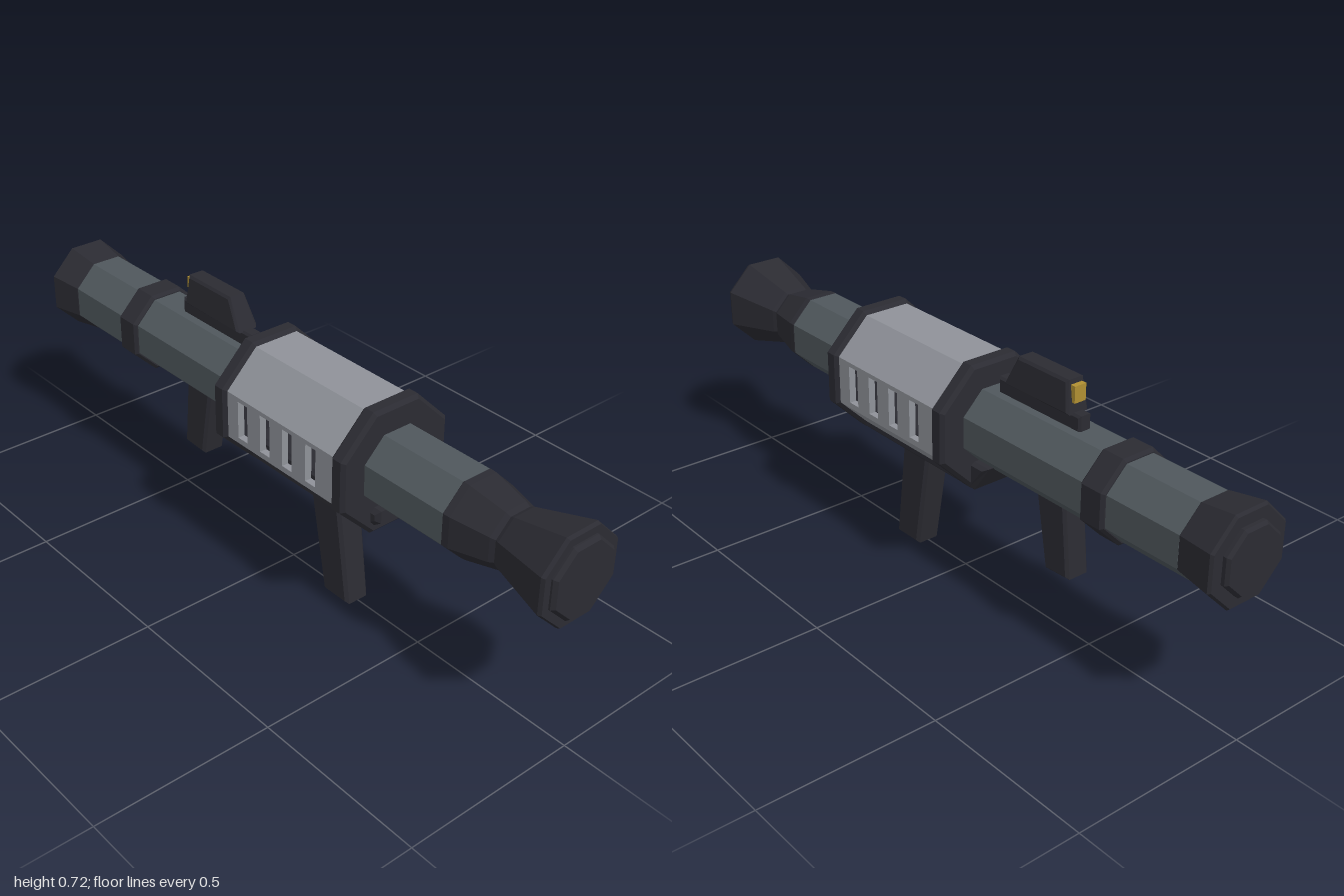
import * as THREE from 'three';

const AXIS_Y = 0.49;
const mat = (name, color) => {
  const m = new THREE.MeshStandardMaterial({ color });
  m.name = name;
  return m;
};

export function createModel() {
  const dark = mat('dark polymer', 0x2b2b32);
  const steel = mat('tube grey', 0x4f575c);
  const light = mat('light grey', 0x8f9299);
  const gold = mat('brass', 0xb08f32);
  const root = new THREE.Group();
  root.name = 'shoulderLauncher';

  const add = (name, geo, material, parent = root) => {
    const flat = geo.index ? geo.toNonIndexed() : geo;
    flat.computeVertexNormals();
    const mesh = new THREE.Mesh(flat, material);
    mesh.name = name;
    parent.add(mesh);
    return mesh;
  };

  // Eight-sided solid along z; profile is [flat-to-centre distance, z], back to front
  const octagon = (name, profile, material) => {
    const pts = profile.map(([r, z]) => new THREE.Vector2(r / Math.cos(Math.PI / 8), z));
    const geo = new THREE.LatheGeometry(pts, 8, Math.PI / 8);
    geo.rotateX(Math.PI / 2).translate(0, AXIS_Y, 0);
    return add(name, geo, material);
  };

  // Band with chamfered edges
  const band = (name, r, z0, z1, material, c = 0.008) =>
    octagon(name, [[0, z0], [r - c, z0], [r, z0 + c], [r, z1 - c], [r - c, z1], [0, z1]], material);

  // Chamfered slab from a side outline of [z, y] points, centred on x = 0
  const slab = (name, outline, halfWidth, material, c = 0.008, shapeX = null) => {
    const shape = new THREE.Shape(outline.map(([z, y]) => new THREE.Vector2(z, y)));
    const depth = 2 * (halfWidth - c);
    const geo = new THREE.ExtrudeGeometry(shape, {
      depth, bevelEnabled: true, bevelThickness: c, bevelSize: c, bevelOffset: -c, bevelSegments: 1,
    });
    geo.translate(0, 0, -depth / 2).rotateY(-Math.PI / 2);
    if (shapeX) {
      const p = geo.attributes.position;
      for (let i = 0; i < p.count; i++) p.setX(i, p.getX(i) * shapeX(p.getY(i)));
    }
    return add(name, geo, material);
  };

  // Barrel, in two lengths either side of the hollow housing
  octagon('frontTube', [[0, 0.35], [0.105, 0.35], [0.105, 0.66], [0, 0.66]], steel);
  octagon('rearTube', [[0, -0.87], [0.105, -0.87], [0.105, -0.08], [0, -0.08]], steel);
  band('tubeBand', 0.116, -0.64, -0.56, dark);

  // Muzzle: tapering neck, flared cone and raised cap
  octagon('muzzleNeck', [[0, 0.652], [0.1, 0.652], [0.106, 0.66], [0.105, 0.68], [0.082, 0.785],
    [0.075, 0.8], [0, 0.8]], dark);
  octagon('muzzleCone', [[0, 0.795], [0.074, 0.795], [0.081, 0.81], [0.124, 0.975], [0.12, 0.985],
    [0, 0.985]], dark);
  octagon('muzzleCap', [[0, 0.97], [0.1, 0.97], [0.1, 0.99], [0.092, 1], [0, 1]], dark);

  // Rear cone and cap
  octagon('rearCone', [[0, -0.982], [0.116, -0.982], [0.122, -0.975], [0.106, -0.872],
    [0.1, -0.865], [0, -0.865]], dark);
  octagon('rearCap', [[0, -1], [0.08, -1], [0.087, -0.992], [0.087, -0.97], [0, -0.97]], dark);

  // Housing end rings
  band('housingFrontRing', 0.175, 0.343, 0.392, dark, 0.01);
  band('housingRearRing', 0.175, -0.12, -0.07, dark, 0.01);

  // Hollow housing of eight walls; the left and right walls have open slots
  const housing = new THREE.Group();
  housing.name = 'housing';
  housing.position.y = AXIS_Y;
  root.add(housing);
  const R = 0.165, wall = 0.02, half = R * Math.tan(Math.PI / 8);
  const rect = (Type, z0, z1, y0, y1) => new Type([[z0, y0], [z1, y0], [z1, y1], [z0, y1]]
    .map(([z, y]) => new THREE.Vector2(z, y)));
  for (let i = 0; i < 8; i++) {
    const shape = rect(THREE.Shape, -0.08, 0.35, -half, half);
    if (i % 4 === 0) {
      for (const z of [0.278, 0.188, 0.1, 0.01]) {
        shape.holes.push(rect(THREE.Path, z - 0.019, z + 0.019, -0.052, 0.056));
      }
    }
    const geo = new THREE.ExtrudeGeometry(shape, { depth: wall, bevelEnabled: false });
    geo.rotateY(-Math.PI / 2).translate(R, 0, 0);
    // Mirror the far side by turning about the barrel axis, keeping slots above centre alike
    if (i === 4) geo.rotateX(Math.PI).translate(0, 0, 0.27).rotateY(0);
    geo.rotateZ(i * Math.PI / 4);
    if (i === 4) {
      // The turned wall spans the same length once the flip is undone along z
      geo.translate(0, 0, 0);
    }
    add('housingWall', geo, light, housing);
  }

  // Keel under the housing
  slab('keel', [[-0.12, 0.312], [0.35, 0.312], [0.418, 0.36], [0.418, 0.395], [-0.178, 0.395]],
    0.08, dark, 0.012);

  // Grips
  slab('frontGrip', [[0.17, 0], [0.268, 0], [0.222, 0.34], [0.11, 0.34]], 0.041, dark, 0.009,
    (y) => 0.94 + 0.2 * y);
  slab('rearGrip', [[-0.45, 0.18], [-0.362, 0.175], [-0.322, 0.4], [-0.428, 0.4]], 0.037, dark);

  // Sight with its rail and brass eyepiece
  slab('sightRail', [[-0.455, 0.59], [-0.155, 0.59], [-0.155, 0.636], [-0.455, 0.636]], 0.02, dark, 0.006);
  slab('sightBody', [[-0.428, 0.632], [-0.19, 0.632], [-0.235, 0.72], [-0.416, 0.72]], 0.035, dark, 0.007,
    (y) => 1 - 2.6 * (y - 0.632));
  const eyepiece = new THREE.BoxGeometry(0.036, 0.045, 0.03);
  eyepiece.translate(0, 0.685, -0.418);
  add('eyepiece', eyepiece, gold);

  return root;
}
